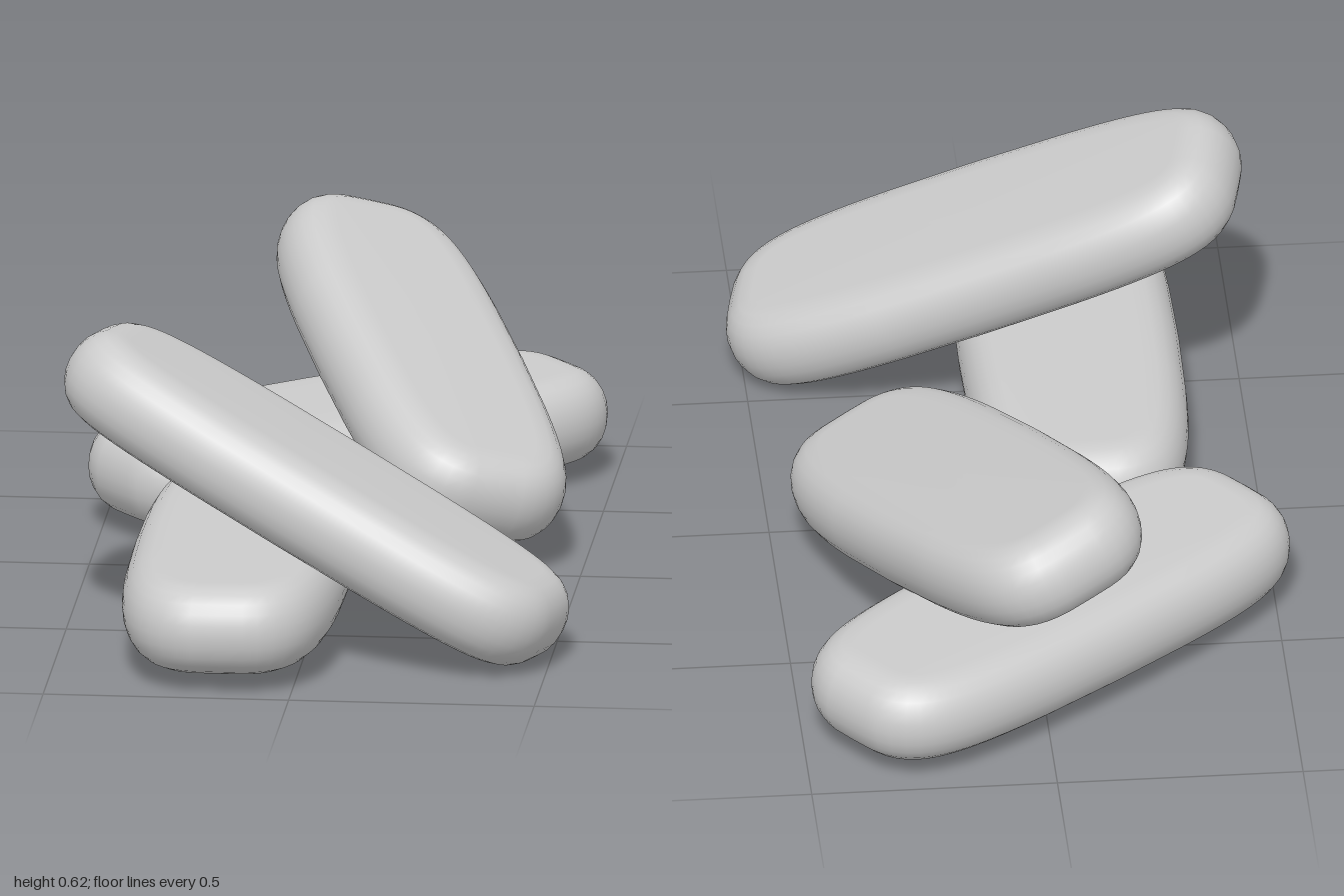
import * as THREE from 'three';

// Pebble-like slab: barrelled superellipse core swept with a rounded rim, length along x
function slabGeometry(length = 1.145, thickness = 0.185, width = 0.452) {
  const r = thickness / 2, a = length / 2 - r, b = width / 2 - r;
  const around = 64, rim = 12, power = 5, barrel = 0.13;
  const rows = rim + 3; // rim rows plus a centre row for each flat face
  const pos = [], idx = [];
  const spow = (value, e) => Math.sign(value) * Math.abs(value) ** e;
  for (let j = 0; j < rows; j++) {
    const k = THREE.MathUtils.clamp(j - 1, 0, rim);
    const phi = (k / rim - 0.5) * Math.PI;
    const core = j === 0 || j === rows - 1 ? 0 : 1;
    const out = core * r * Math.max(Math.cos(phi), 0) ** 0.8;
    for (let i = 0; i < around; i++) {
      const t = (i / around) * Math.PI * 2;
      const u = spow(Math.cos(t), 2 / power), v = spow(Math.sin(t), 2 / power);
      const n = new THREE.Vector2(spow(u, power - 1) / a, spow(v, power - 1) / b).normalize();
      const z = v * b * (1 - barrel * u * u);
      pos.push(u * a * core + n.x * out, r * Math.sin(phi), z * core + n.y * out);
    }
  }
  for (let j = 0; j < rows - 1; j++) {
    for (let i = 0; i < around; i++) {
      const p = j * around + i, q = j * around + (i + 1) % around;
      const up = p + around, uq = q + around;
      if (j > 0) idx.push(p, up, q);
      if (j < rows - 2) idx.push(q, up, uq);
    }
  }
  const g = new THREE.BufferGeometry();
  g.setAttribute('position', new THREE.Float32BufferAttribute(pos, 3));
  g.setIndex(idx);
  g.computeVertexNormals();
  return g;
}

export function createModel() {
  const group = new THREE.Group();
  const material = new THREE.MeshStandardMaterial({ color: 0xcccccc });
  const geometry = slabGeometry();

  // name, centre, long axis, direction of the upper face
  const slabs = [
    ['frontFlatSlab', [-0.148, 0.124, 0.428], [0, 0, 1], [0, 1, 0]],
    ['backFlatSlab', [-0.025, 0.124, -0.553], [0.785, 0, -0.62], [0, 1, 0]],
    ['frontLeaningSlab', [0.015, 0.311, 0.553], [0.865, -0.44, 0.242], [0.454, 0.891, 0]],
    ['backLeaningSlab', [0.136, 0.311, -0.43], [0.34, -0.28, 0.9], [0.39, 0.956, 0.15]],
  ];
  for (const [name, centre, axis, up] of slabs) {
    const x = new THREE.Vector3(...axis).normalize();
    const z = new THREE.Vector3().crossVectors(x, new THREE.Vector3(...up)).normalize();
    const y = new THREE.Vector3().crossVectors(z, x);
    const slab = new THREE.Mesh(geometry, material);
    slab.name = name;
    slab.quaternion.setFromRotationMatrix(new THREE.Matrix4().makeBasis(x, y, z));
    slab.position.set(...centre);
    group.add(slab);
  }
  return group;
}
